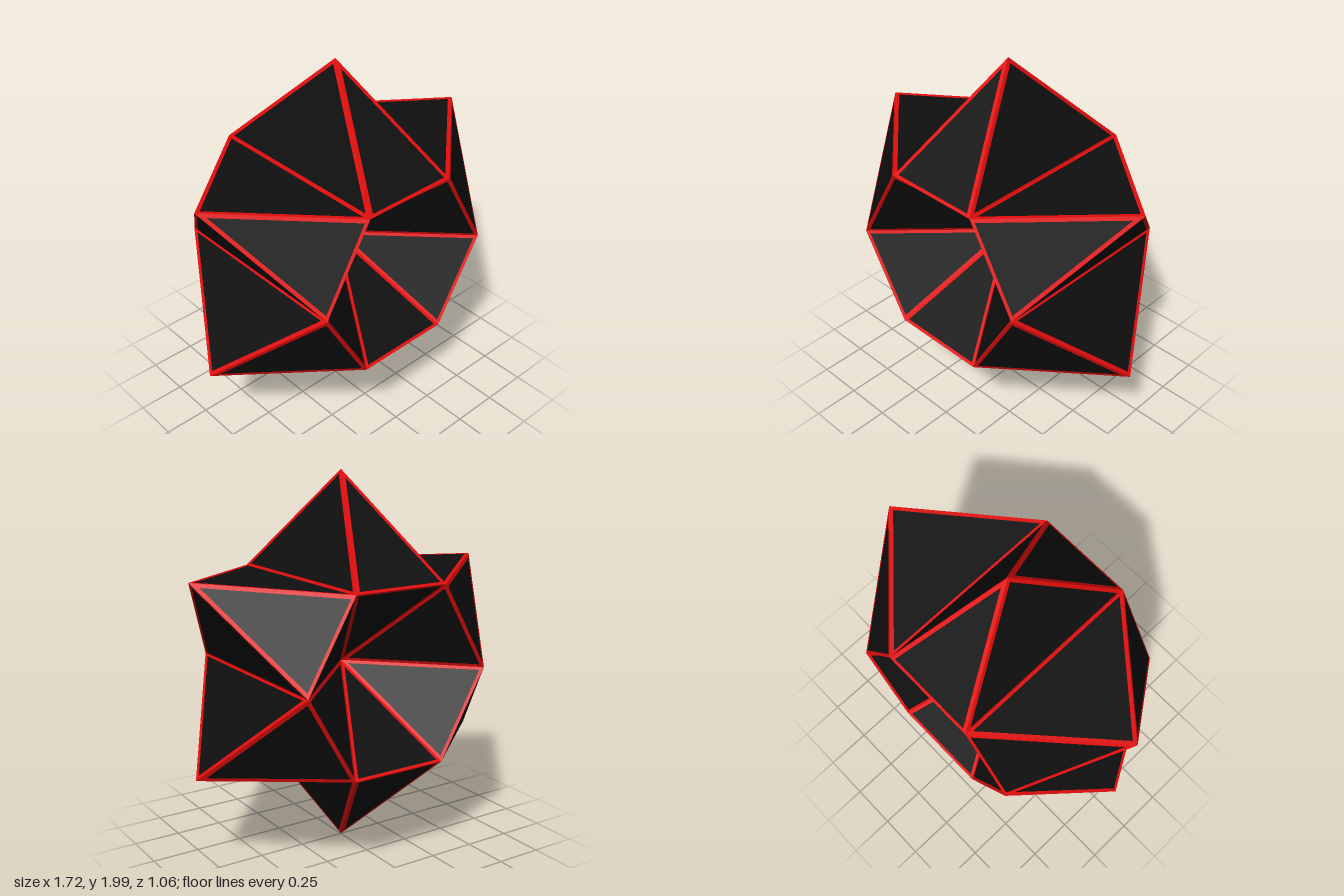
import * as THREE from 'three';

const TIP = 0.993;    // distance of the star points from the middle
const HEX = 0.53;     // radius of the hexagonal rims
const DEPTH = 0.53;   // rims lie at z = +-DEPTH
const TRIM = 0.016;   // width of the edge trim
const RIDGE = 0.02;   // width of the trim on edges that run to a star point

// Splits triangle abc into an inset panel and a border; widths[i] belongs to the edge opposite corner i.
function splitFace(corners, widths, inside, panel, trim) {
  let pts = corners, w = widths;
  const normal = (p) => p[1].clone().sub(p[0]).cross(p[2].clone().sub(p[0]));
  if (normal(pts).dot(pts[0].clone().sub(inside)) < 0) {
    pts = [pts[0], pts[2], pts[1]];
    w = [w[0], w[2], w[1]];
  }
  const area = normal(pts).length();
  const share = w.map((v, i) => v * pts[(i + 1) % 3].distanceTo(pts[(i + 2) % 3]) / area);
  const inner = pts.map((_, k) => {
    const p = new THREE.Vector3();
    let rest = 1;
    for (let i = 0; i < 3; i++) {
      if (i === k) continue;
      p.addScaledVector(pts[i], share[i]);
      rest -= share[i];
    }
    return p.addScaledVector(pts[k], rest);
  });
  panel.push(...inner);
  for (let i = 0; i < 3; i++) {
    const j = (i + 1) % 3;
    trim.push(pts[i], pts[j], inner[j], pts[i], inner[j], inner[i]);
  }
}

function toMesh(points, material, name) {
  const geometry = new THREE.BufferGeometry().setFromPoints(points);
  geometry.computeVertexNormals();
  const mesh = new THREE.Mesh(geometry, material);
  mesh.name = name;
  return mesh;
}

export function createModel() {
  const black = new THREE.MeshStandardMaterial({ color: 0x0f0f0f });
  black.name = 'black panel';
  const red = new THREE.MeshStandardMaterial({ color: 0xe30d0d });
  red.name = 'red trim';

  // One upright wedge of the ring: star point, middle and four rim corners
  const tip = new THREE.Vector3(0, TIP, 0);
  const middle = new THREE.Vector3(0, 0, 0);
  const inside = new THREE.Vector3(0, TIP / 2, 0);
  const rim = (side, z) => new THREE.Vector3(side * HEX / 2, HEX * Math.sqrt(3) / 2, z * DEPTH);
  const panel = [], trim = [];

  for (const s of [1, -1]) {
    // sunken face, sloping outer face (front and back)
    splitFace([middle, rim(-1, s), rim(1, s)], [TRIM, TRIM, TRIM], inside, panel, trim);
    splitFace([tip, rim(-1, s), rim(1, s)], [TRIM, RIDGE, RIDGE], inside, panel, trim);
    // flank between two star points
    splitFace([tip, rim(s, 1), rim(s, -1)], [TRIM * 0.75, RIDGE, RIDGE], inside, panel, trim);
  }

  const panelMesh = toMesh(panel, black, 'panels');
  const trimMesh = toMesh(trim, red, 'edgeTrim');

  // Six wedges around the z axis
  const model = new THREE.Group();
  model.name = 'facetedStarRing';
  for (let i = 0; i < 6; i++) {
    const wedge = new THREE.Group();
    wedge.name = 'starWedge' + (i + 1);
    wedge.add(panelMesh.clone(), trimMesh.clone());
    wedge.position.y = 1;
    wedge.rotation.z = i * Math.PI / 3;
    model.add(wedge);
  }
  return model;
}
